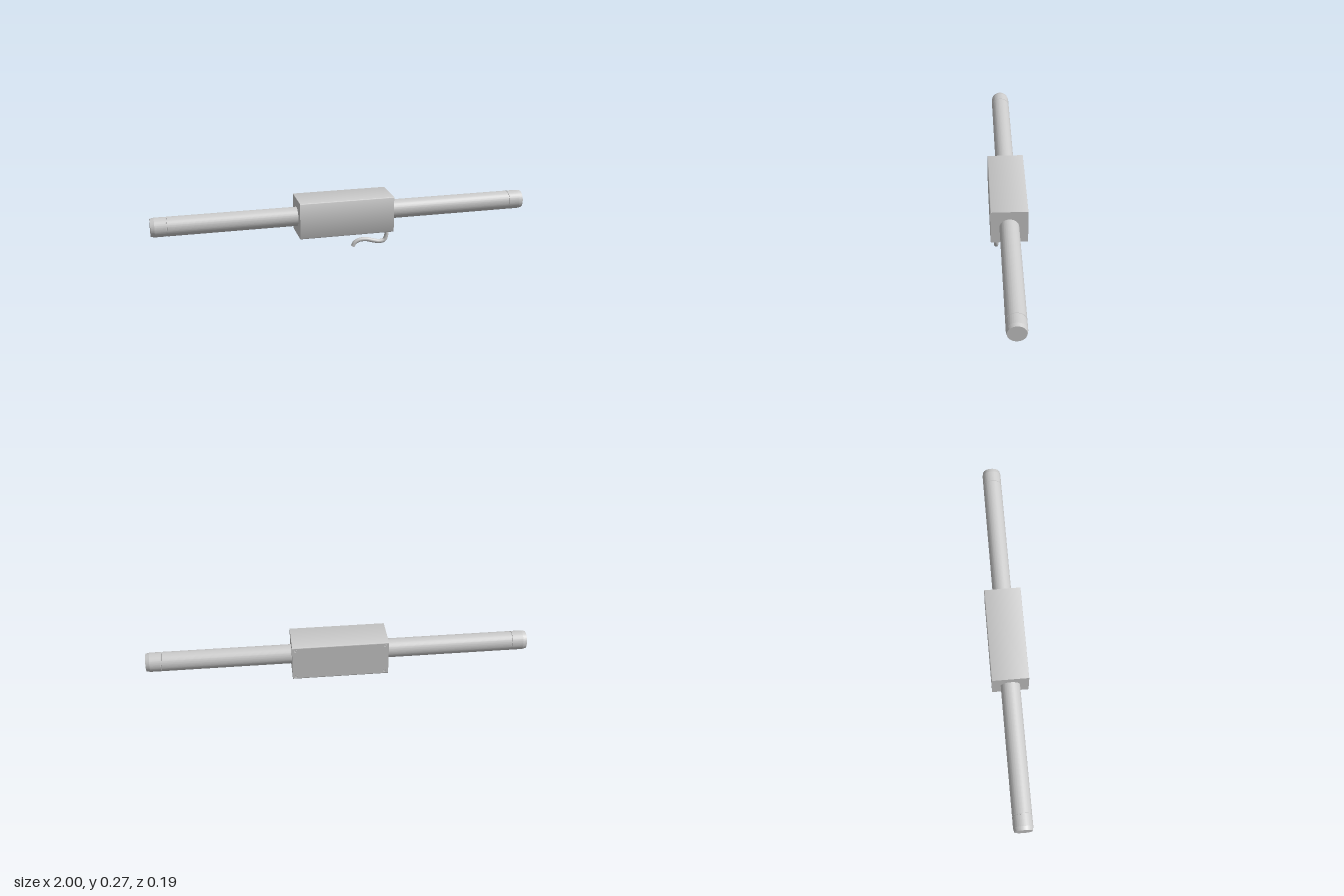
import * as THREE from 'three';
import { toCreasedNormals } from 'three/addons/utils/BufferGeometryUtils.js';

const AXIS_Y = 0.177;   // height of the rod and housing centre
const HALF = 0.096;     // half width of the square housing
const LENGTH = 0.5;     // housing length
const FILLET = 0.005;
const RECESS = 0.004;   // depth of the screw pockets
const ROD_R = 0.05;

export function createModel() {
  const group = new THREE.Group();
  const material = new THREE.MeshStandardMaterial({ color: 0xcccccc });
  const add = (name, geometry, parent = group) => {
    const mesh = new THREE.Mesh(geometry, material);
    mesh.name = name;
    parent.add(mesh);
    return mesh;
  };

  // Housing: square section with rounded long edges and a shallow seat for the back cover
  const f = HALF - FILLET;
  const section = new THREE.Shape();
  section.moveTo(-f, -HALF);
  section.lineTo(f, -HALF);
  section.absarc(f, -f, FILLET, -Math.PI / 2, 0, false);
  section.lineTo(HALF - RECESS, -f);
  section.lineTo(HALF - RECESS, f);
  section.lineTo(HALF, f);
  section.absarc(f, f, FILLET, 0, Math.PI / 2, false);
  section.lineTo(-f, HALF);
  section.absarc(-f, f, FILLET, Math.PI / 2, Math.PI, false);
  section.lineTo(-HALF, -f);
  section.absarc(-f, -f, FILLET, Math.PI, Math.PI * 1.5, false);
  const body = new THREE.ExtrudeGeometry(section, { depth: LENGTH, bevelEnabled: false, curveSegments: 6 });
  body.translate(0, 0, -LENGTH / 2).rotateY(Math.PI / 2);
  add('housing', toCreasedNormals(body, 0.6)).position.y = AXIS_Y;

  // Back cover with a screw hole at each corner
  const corners = [-1, 1].flatMap(sx => [-1, 1].map(sy => [sx * 0.232, sy * 0.078]));
  const plate = new THREE.Shape([
    new THREE.Vector2(-LENGTH / 2, -f), new THREE.Vector2(LENGTH / 2, -f),
    new THREE.Vector2(LENGTH / 2, f), new THREE.Vector2(-LENGTH / 2, f),
  ]);
  for (const [x, y] of corners) {
    plate.holes.push(new THREE.Path().absarc(x, y, 0.008, 0, Math.PI * 2, true));
  }
  const cover = new THREE.ExtrudeGeometry(plate, { depth: RECESS, bevelEnabled: false, curveSegments: 12 });
  add('backCover', toCreasedNormals(cover, 0.6)).position.set(0, AXIS_Y, -HALF);

  // Sunk screw heads
  for (const [x, y] of corners) {
    const head = new THREE.CylinderGeometry(0.006, 0.006, 0.003, 24).rotateX(Math.PI / 2);
    add('coverScrew', head).position.set(x, AXIS_Y + y, -HALF + 0.003);
  }

  // Rod halves: tube, narrow groove, and end cap with a chamfered rim
  const profile = [
    [ROD_R, 0.24], [ROD_R, 0.917], [ROD_R - 0.002, 0.918], [ROD_R - 0.002, 0.922],
    [ROD_R, 0.923], [ROD_R, 0.98], [ROD_R - 0.004, 1], [0, 1],
  ].map(([r, h]) => new THREE.Vector2(r, h));
  for (const side of [1, -1]) {
    const rod = new THREE.LatheGeometry(profile, 64).rotateZ(-side * Math.PI / 2);
    add(side > 0 ? 'leftRod' : 'rightRod', toCreasedNormals(rod, 0.15)).position.y = AXIS_Y;
  }

  // Cable leaving the underside
  const cable = new THREE.Group();
  cable.name = 'cable';
  group.add(cable);
  const path = new THREE.CatmullRomCurve3([
    [0.219, 0.09], [0.218, 0.055], [0.207, 0.031], [0.18, 0.025], [0.145, 0.032],
    [0.108, 0.042], [0.07, 0.041], [0.046, 0.028], [0.035, 0.009],
  ].map(([x, y]) => new THREE.Vector3(x, y, 0.066)));
  const CABLE_R = 0.011;
  add('cableSheath', new THREE.TubeGeometry(path, 64, CABLE_R, 20), cable);
  const tip = add('cableEnd', new THREE.CircleGeometry(CABLE_R, 20), cable);
  tip.position.copy(path.getPoint(1));
  tip.quaternion.setFromUnitVectors(new THREE.Vector3(0, 0, 1), path.getTangent(1));

  return group;
}
